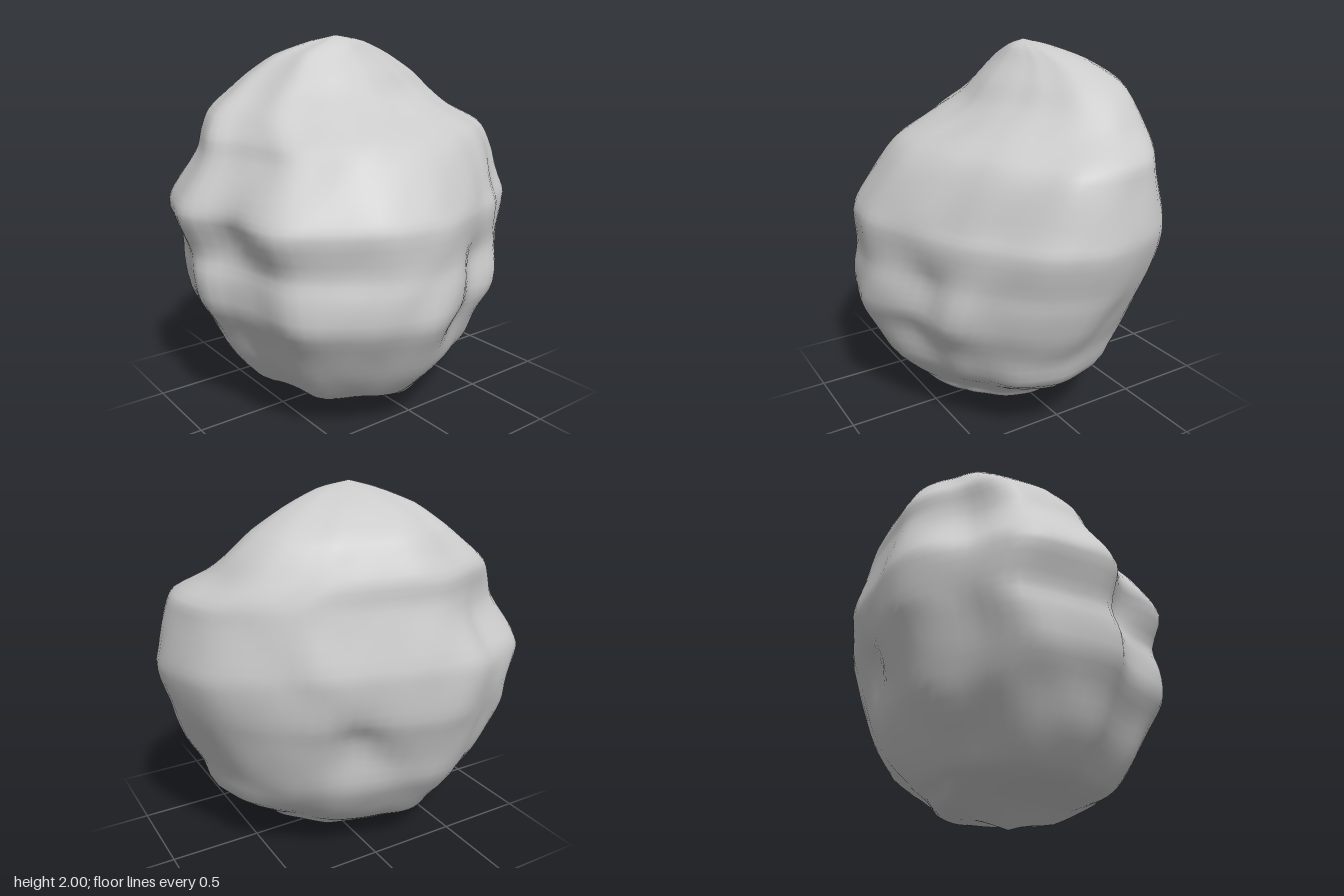
import * as THREE from 'three';

// Plan outline of the boulder at its widest, [x, z], counter-clockwise from above
const OUTLINE = [
  [-0.98, -0.12], [-0.9, 0.05], [-0.86, 0.2], [-0.82, 0.45], [-0.72, 0.57], [-0.4, 0.77], [-0.2, 0.83],
  [-0.05, 0.84], [0.2, 0.77], [0.4, 0.67], [0.53, 0.61], [0.66, 0.51], [0.85, 0.37], [0.93, 0.24],
  [0.975, 0.05], [0.93, -0.18], [0.85, -0.34], [0.7, -0.48], [0.53, -0.6], [0.43, -0.67], [0.2, -0.75],
  [0, -0.8], [-0.22, -0.85], [-0.4, -0.82], [-0.6, -0.71], [-0.75, -0.65], [-0.86, -0.55], [-0.93, -0.35],
];

// Extent of each level: [y, xMin, xMax, zMin, zMax]
const LEVELS = [
  [0, -0.07, -0.07, 0.04, 0.04], [0.03, -0.14, 0, -0.07, 0.14], [0.07, -0.22, 0.12, -0.22, 0.36],
  [0.1, -0.32, 0.36, -0.32, 0.46], [0.15, -0.55, 0.42, -0.42, 0.53], [0.2, -0.63, 0.48, -0.5, 0.59],
  [0.34, -0.74, 0.69, -0.59, 0.7], [0.5, -0.82, 0.75, -0.7, 0.78], [0.65, -0.91, 0.83, -0.75, 0.845],
  [0.8, -0.93, 0.89, -0.8, 0.84], [0.92, -0.92, 0.92, -0.835, 0.82], [1.1, -0.98, 0.975, -0.84, 0.81],
  [1.2, -0.95, 0.97, -0.83, 0.76], [1.4, -0.83, 0.925, -0.76, 0.64], [1.5, -0.79, 0.89, -0.73, 0.55],
  [1.6, -0.71, 0.75, -0.72, 0.38], [1.7, -0.58, 0.65, -0.66, 0.22], [1.8, -0.46, 0.54, -0.59, 0.13],
  [1.9, -0.33, 0.36, -0.43, 0.03], [1.97, -0.15, 0.15, -0.24, -0.03], [2, -0.04, -0.04, -0.11, -0.11],
];

// Local hollows (negative) and swellings: [x, y, z, radius, height]
const FEATURES = [
  [0.18, 0.55, 0.75, 0.16, -0.06], [0.27, 0.85, 0.72, 0.17, -0.06], [0.44, 0.72, 0.62, 0.14, 0.03],
  [-0.25, 1.15, 0.68, 0.3, 0.03], [-0.9, 1.02, 0.08, 0.14, -0.05], [-0.6, 1.45, 0.2, 0.18, -0.04],
  [-0.55, 1.3, -0.55, 0.18, -0.07], [0.25, 0.75, -0.72, 0.2, -0.06], [0.5, 0.6, -0.5, 0.25, 0.03],
  [0.62, 1.45, -0.15, 0.15, -0.03], [-0.05, 1.6, 0.3, 0.2, -0.03],
];

// Gentle fixed-pattern roughness
function roughness(p) {
  let sum = 0;
  for (let k = 1; k <= 3; k++) {
    const f = 5 * k;
    sum += Math.sin(f * p.x + 1.7 * k + 2 * Math.sin(3 * p.y)) * Math.sin(f * p.y + 2.3 * k + 2 * Math.sin(3 * p.z))
      * Math.sin(f * p.z + 0.9 * k + 2 * Math.sin(3 * p.x)) / k;
  }
  return 0.016 * sum;
}

function boulderGeometry(rows, columns) {
  const plan = new THREE.CatmullRomCurve3(OUTLINE.map(([x, z]) => new THREE.Vector3(x, 0, z)), true, 'catmullrom', 0.5);
  const ring = plan.getSpacedPoints(columns).slice(0, columns);
  const span = (a, b) => new THREE.CatmullRomCurve3(
    LEVELS.map((l) => new THREE.Vector3(l[a], l[0], l[b])), false, 'catmullrom', 0.4);
  const spanX = span(1, 2), spanZ = span(3, 4);

  const centre = new THREE.Vector3(0, 1, 0), spot = new THREE.Vector3();
  const positions = [], index = [];
  for (let i = 0; i <= rows; i++) {
    const sx = spanX.getPoint(i / rows), sz = spanZ.getPoint(i / rows);
    const fade = Math.sin(Math.PI * i / rows);
    for (const r of ring) {
      // Fit the plan outline into the extent of this level
      const p = new THREE.Vector3(
        THREE.MathUtils.mapLinear(r.x, -0.98, 0.975, sx.x, sx.z), sx.y,
        THREE.MathUtils.mapLinear(r.z, -0.85, 0.84, sz.x, sz.z));
      let push = roughness(p) * fade;
      for (const [x, y, z, radius, height] of FEATURES) {
        push += height * Math.exp(-p.distanceToSquared(spot.set(x, y, z)) / (radius * radius));
      }
      p.addScaledVector(p.clone().sub(centre).normalize(), push);
      positions.push(p.x, Math.min(2, Math.max(0, p.y)), p.z);
    }
  }
  for (let i = 0; i < rows; i++) {
    for (let j = 0; j < columns; j++) {
      const a = i * columns + j, b = i * columns + (j + 1) % columns;
      const c = b + columns, d = a + columns;
      if (i > 0) index.push(a, b, c);
      if (i < rows - 1) index.push(a, c, d);
      if (i === 0) index.push(a, c, d);
      if (i === rows - 1) index.push(a, b, d);
    }
  }
  // Drop the repeated triangles at the two tips
  const faces = [];
  const seen = new Set();
  for (let k = 0; k < index.length; k += 3) {
    const face = index.slice(k, k + 3), key = face.join();
    if (!seen.has(key)) faces.push(...face);
    seen.add(key);
  }
  const geometry = new THREE.BufferGeometry();
  geometry.setAttribute('position', new THREE.Float32BufferAttribute(positions, 3));
  geometry.setIndex(faces);
  geometry.computeVertexNormals();
  return geometry;
}

export function createModel() {
  const group = new THREE.Group();
  group.name = 'rock';
  const boulder = new THREE.Mesh(boulderGeometry(60, 80), new THREE.MeshStandardMaterial({ color: 0xcccccc }));
  boulder.name = 'boulder';
  group.add(boulder);
  return group;
}
